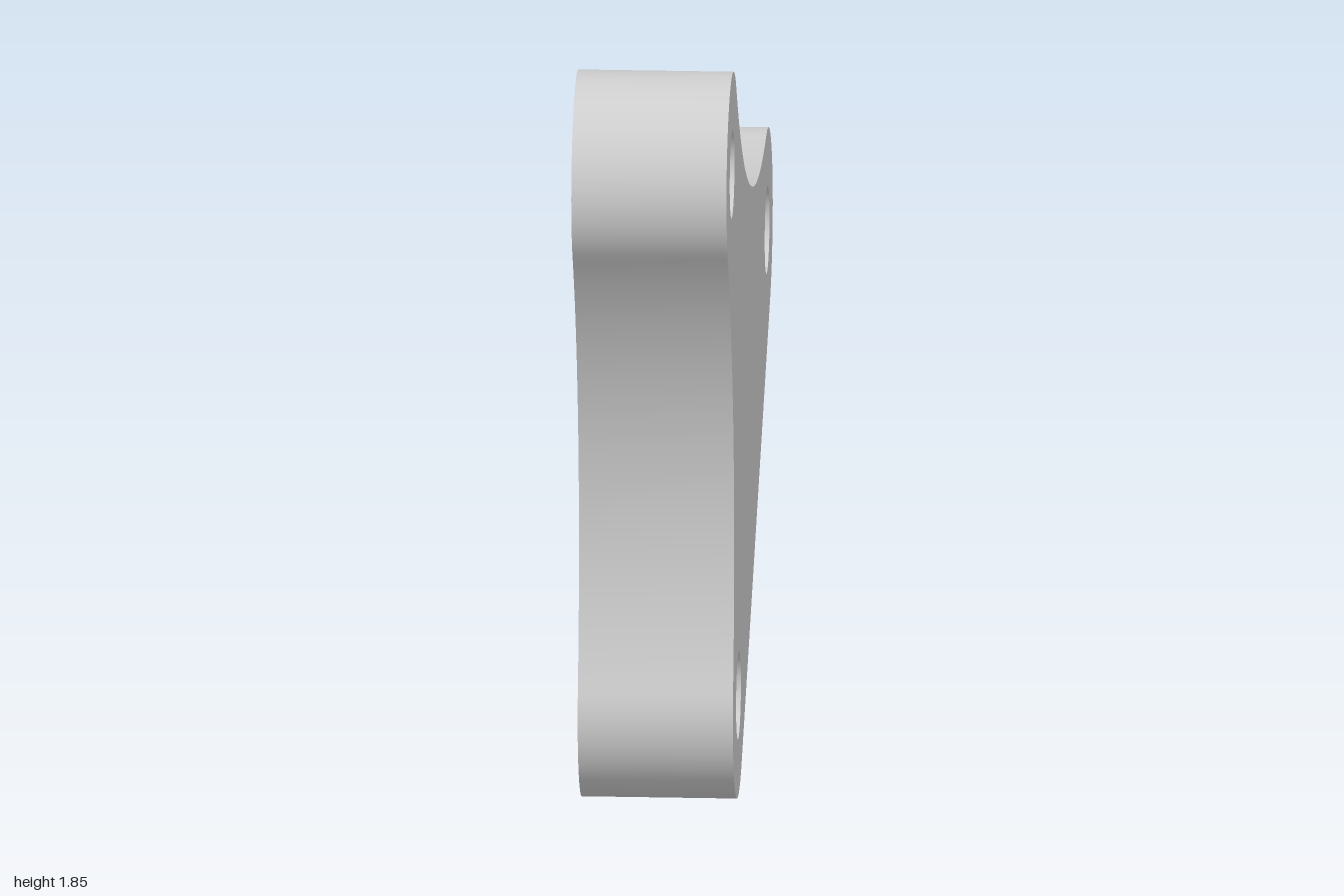
import * as THREE from 'three';
import { toCreasedNormals } from 'three/addons/utils/BufferGeometryUtils.js';

const R = 0.245;        // lobe radius
const HOLE = 0.105;     // bolt hole radius
const DEPTH = 0.37;     // plate thickness

// Lobe centres in the plate's own plane (horizontal = -z, vertical = y)
const top = new THREE.Vector2(-0.755, 1.61);
const back = new THREE.Vector2(0.755, 1.05);
const foot = new THREE.Vector2(-0.48, 0.245);

const angle = (from, to) => Math.atan2(to.y - from.y, to.x - from.x);

// Centre of a concave arc of given radius that touches lobes a and b from outside (right of a -> b)
function filletCentre(a, b, radius) {
  const d = b.clone().sub(a);
  const half = d.length() / 2;
  const h = Math.sqrt((radius + R) ** 2 - half * half);
  const out = new THREE.Vector2(d.y, -d.x).normalize();
  return a.clone().add(b).multiplyScalar(0.5).addScaledVector(out, h);
}

export function createModel() {
  const group = new THREE.Group();
  group.name = 'bracket';

  // Outline, counterclockwise: straight edge, back lobe, hollow, top lobe, hollow, foot lobe
  const straight = angle(foot, back) - Math.PI / 2;
  const r1 = 1.455, r2 = 1.26;
  const c1 = filletCentre(back, top, r1);
  const c2 = filletCentre(top, foot, r2);
  const plate = new THREE.Shape();
  plate.absarc(back.x, back.y, R, straight, angle(back, c1), false);
  plate.absarc(c1.x, c1.y, r1, angle(c1, back), angle(c1, top), true);
  plate.absarc(top.x, top.y, R, angle(top, c1), angle(top, c2), false);
  plate.absarc(c2.x, c2.y, r2, angle(c2, top), angle(c2, foot), true);
  plate.absarc(foot.x, foot.y, R, angle(foot, c2), straight, false);
  plate.closePath();

  // Bolt holes
  for (const c of [top, back, foot]) {
    const hole = new THREE.Path();
    hole.absarc(c.x, c.y, HOLE, 0, Math.PI * 2, true);
    plate.holes.push(hole);
  }

  // Extrude and turn so the thickness runs along x
  const geometry = new THREE.ExtrudeGeometry(plate, { depth: DEPTH, bevelEnabled: false, curveSegments: 18 });
  geometry.translate(0, 0, -DEPTH / 2);
  geometry.rotateY(Math.PI / 2);

  const mesh = new THREE.Mesh(
    toCreasedNormals(geometry, Math.PI / 5),
    new THREE.MeshStandardMaterial({ color: 0xcccccc })
  );
  mesh.name = 'bracketPlate';
  group.add(mesh);
  return group;
}
